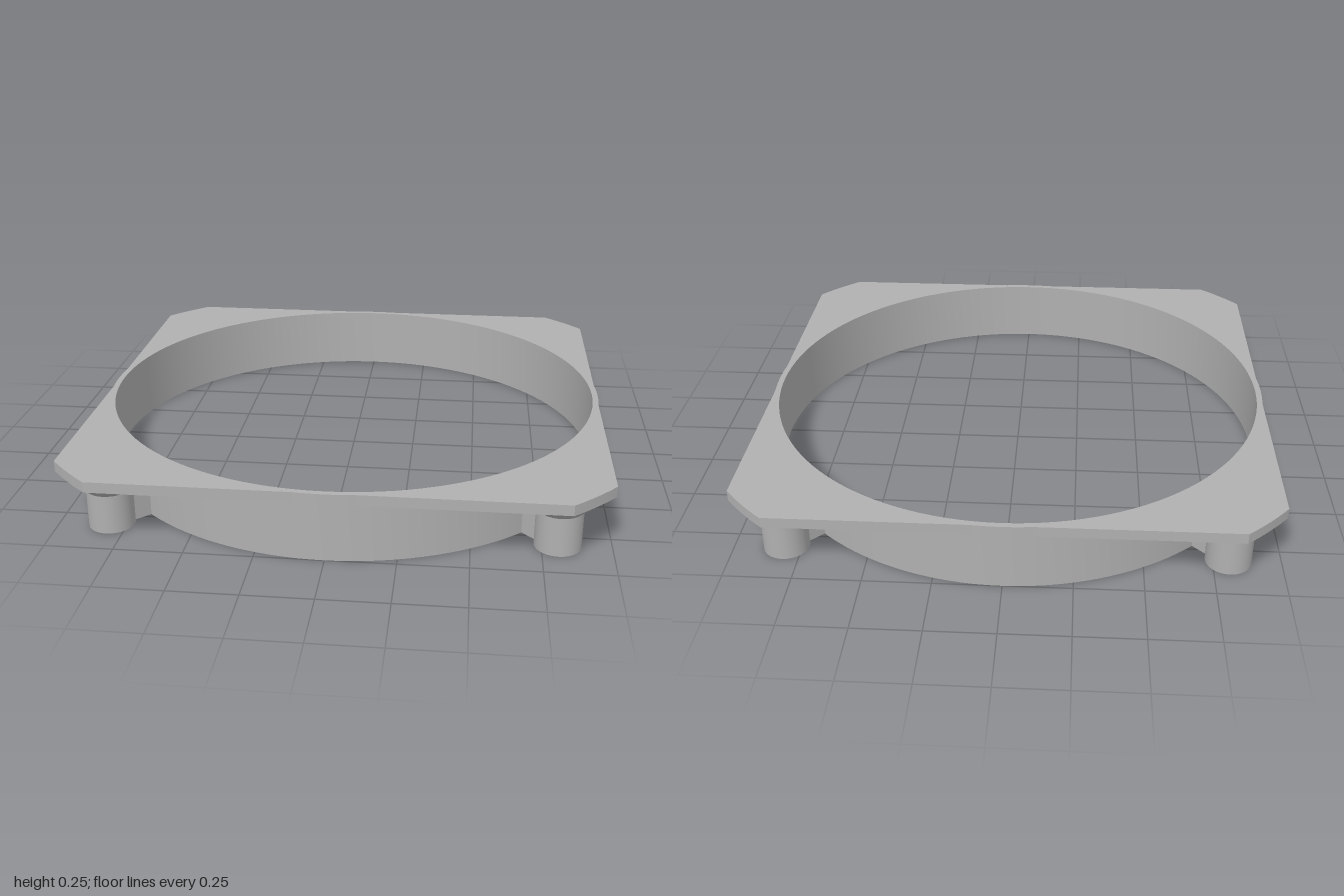
import * as THREE from 'three';
import { toCreasedNormals } from 'three/addons/utils/BufferGeometryUtils.js';

const HEIGHT = 0.255, PLATE_Y = 0.215, HALF = 0.994;
const POST = 0.808; // x and z offset of each post

const lathe = (points, segments) => toCreasedNormals(
  new THREE.LatheGeometry(points.map(([r, y]) => new THREE.Vector2(r, y)), segments), 0.5);

export function createModel() {
  const grey = new THREE.MeshStandardMaterial({ color: 0xb0b0b0 });
  grey.name = 'matte grey';
  const model = new THREE.Group();
  model.name = 'mountingRing';
  const add = (name, geometry, parent = model) => {
    const mesh = new THREE.Mesh(geometry, grey);
    mesh.name = name;
    parent.add(mesh);
    return mesh;
  };

  // Thin cylindrical wall
  add('ringWall', lathe([[1, 0], [1, HEIGHT], [0.977, HEIGHT], [0.977, 0], [1, 0]], 128));

  // Square flange whose corners are trimmed by a large arc
  const cornerR = 1.3, start = Math.acos(HALF / cornerR);
  const outline = new THREE.Shape();
  for (let q = 0; q < 4; q++) {
    const a = q * Math.PI / 2;
    outline.absarc(0, 0, cornerR, a + start, a + Math.PI / 2 - start, false);
  }
  outline.closePath();
  const hole = new THREE.Path();
  hole.absarc(0, 0, 0.985, 0, Math.PI * 2, true);
  outline.holes.push(hole);
  const flange = new THREE.ExtrudeGeometry(outline, {
    depth: HEIGHT - PLATE_Y, bevelEnabled: false, curveSegments: 64,
  });
  flange.rotateX(-Math.PI / 2).translate(0, PLATE_Y, 0);
  add('flange', toCreasedNormals(flange, 0.3));

  // Hollow flared posts, each tied to the wall by a radial web
  const postGeometry = lathe([
    [0, 0.2], [0.066, 0.2], [0.066, 0], [0.084, 0], [0.084, 0.148], [0.152, PLATE_Y],
  ], 48);
  const webGeometry = new THREE.BoxGeometry(0.08, PLATE_Y, 0.066);
  const radius = POST * Math.SQRT2;
  for (let i = 0; i < 4; i++) {
    const corner = new THREE.Group();
    corner.name = 'cornerPost' + (i + 1);
    corner.rotation.y = Math.PI / 4 + i * Math.PI / 2;
    add('post', postGeometry, corner).position.x = radius;
    add('web', webGeometry, corner).position.set(1.03, PLATE_Y / 2, 0);
    model.add(corner);
  }
  return model;
}
